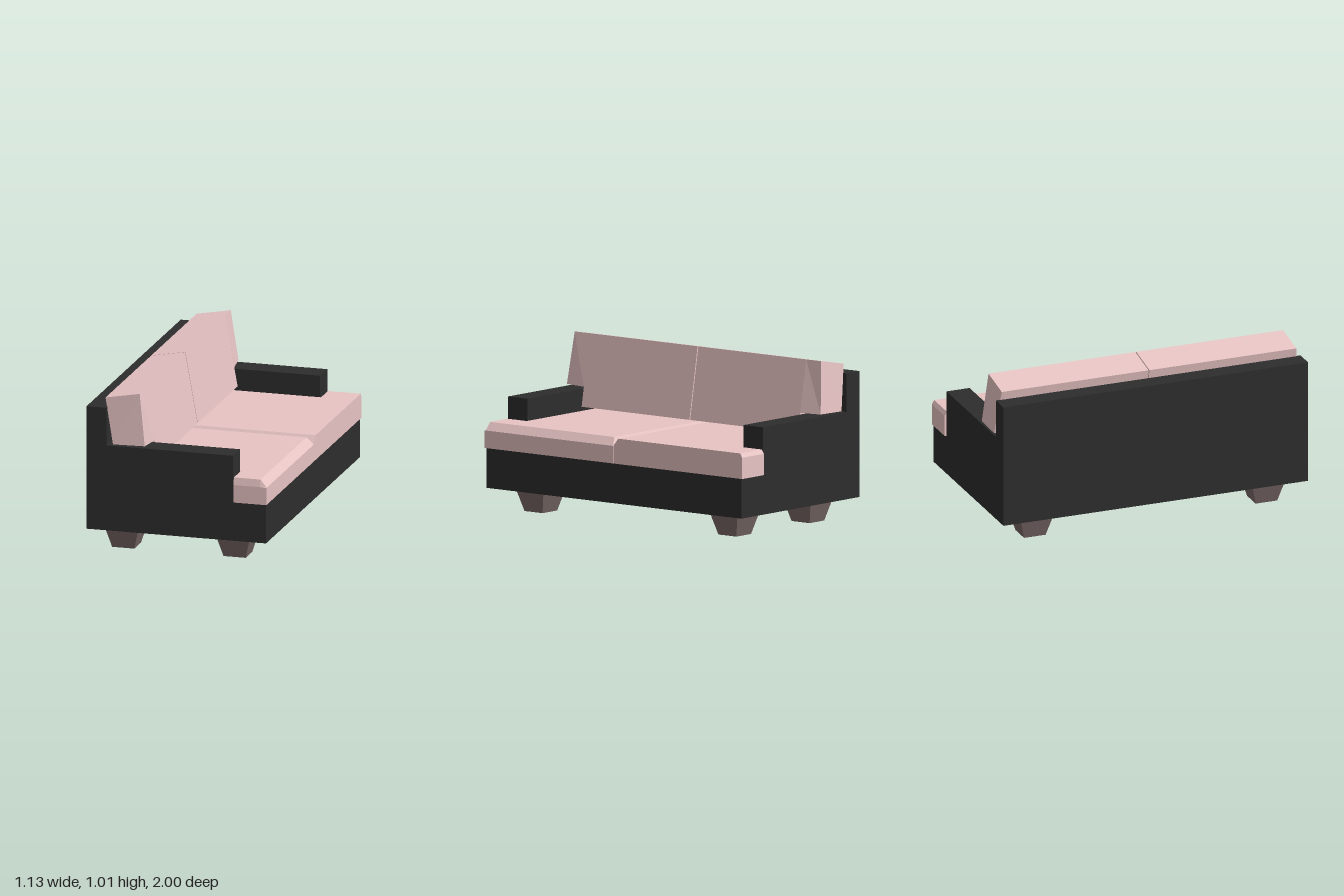
import * as THREE from 'three';

const mat = (color) => new THREE.MeshStandardMaterial({ color, flatShading: true });

// Skin closed rings of [x, y, z] (counter-clockwise seen from +z, ordered by rising z) and cap both ends.
function loft(rings) {
  const pos = [];
  const tri = (a, b, c) => pos.push(...a, ...b, ...c);
  const n = rings[0].length;
  for (let i = 0; i < rings.length - 1; i++) {
    for (let j = 0; j < n; j++) {
      const k = (j + 1) % n;
      const [a, b, c, d] = [rings[i][j], rings[i][k], rings[i + 1][k], rings[i + 1][j]];
      tri(a, b, c);
      tri(a, c, d);
    }
  }
  const last = rings[rings.length - 1];
  for (let j = 1; j < n - 1; j++) {
    tri(rings[0][0], rings[0][j + 1], rings[0][j]);
    tri(last[0], last[j], last[j + 1]);
  }
  const g = new THREE.BufferGeometry();
  g.setAttribute('position', new THREE.Float32BufferAttribute(pos, 3));
  g.computeVertexNormals();
  return g;
}

// Mirror rings to the -z half, keeping z rising.
const mirrorRings = (rings) => rings.map((r) => r.map(([x, y, z]) => [x, y, -z])).reverse();

// Side profile extruded between two z values.
function slab(points, z0, z1) {
  const shape = new THREE.Shape(points.map(([x, y]) => new THREE.Vector2(x, y)));
  return new THREE.ExtrudeGeometry(shape, { depth: z1 - z0, bevelEnabled: false }).translate(0, 0, z0);
}

// Seat cushion rings: wider at the front, where it wraps around the arm.
function seatRings(frontBevel, innerBevel, endBevel, endDrop) {
  const front = 0.565, low = 0.39, top = 0.545;
  const ring = (z, back, drop) => [
    [back, low, z],
    [front, low, z],
    [front, top - Math.max(drop, frontBevel * 1.2), z],
    [front - frontBevel, top - drop, z],
    [back, top - drop, z],
  ];
  return [
    ring(0.002, -0.445, 0.045),
    ring(innerBevel, -0.445, 0),
    ring(0.84, -0.445, 0),
    ring(0.84, 0.358, 0),
    ring(1 - endBevel, 0.358, 0),
    ring(1, 0.358, endDrop),
  ];
}

// Leaning back cushion rings, stepped up where it rests on the arm.
function backRings() {
  const frontTop = [-0.245, 1.01], backTop = [-0.46, 0.97];
  const ring = (z, backLow, frontLow, zTop = z) => [
    [...backLow, z], [...frontLow, z], [...frontTop, zTop], [...backTop, zTop],
  ];
  return [
    ring(0.003, [-0.38, 0.532], [-0.167, 0.57]),
    ring(0.84, [-0.38, 0.532], [-0.167, 0.57]),
    ring(0.84, [-0.409, 0.685], [-0.188, 0.69]),
    ring(0.985, [-0.405, 0.688], [-0.205, 0.692], 0.957),
  ];
}

export function createModel() {
  const sofa = new THREE.Group();
  sofa.name = 'sofa';
  const frameMat = mat(0x2d2d2d);
  const cushionMat = mat(0xe8c4c4);
  const footMat = mat(0x786866);
  const add = (name, geometry, material) => {
    const mesh = new THREE.Mesh(geometry, material);
    mesh.name = name;
    sofa.add(mesh);
    return mesh;
  };

  // Frame: seat base with backrest, and an arm panel at each end
  const low = 0.147, seat = 0.39, armTop = 0.68, backTop = 0.915;
  const back = -0.57, backFront = -0.445, armFront = 0.353, front = 0.56;
  add('baseAndBackrest', slab([
    [back, low], [front, low], [front, seat], [backFront, seat], [backFront, backTop], [back, backTop],
  ], -0.84, 0.84), frameMat);
  const armProfile = [
    [back, low], [front, low], [front, seat], [armFront, seat],
    [armFront, armTop], [backFront, armTop], [backFront, backTop], [back, backTop],
  ];
  add('leftArm', slab(armProfile, -0.99, -0.84), frameMat);
  add('rightArm', slab(armProfile, 0.84, 0.99), frameMat);

  // Seat cushions: one has a bevelled front edge, the other a square one
  add('seatCushionBevelled', loft(seatRings(0.04, 0.025, 0.01, 0.045)), cushionMat);
  add('seatCushionSquare', loft(mirrorRings(seatRings(0, 0.038, 0.015, 0.025))), cushionMat);

  // Back cushions
  add('backCushionNear', loft(backRings()), cushionMat);
  add('backCushionFar', loft(mirrorRings(backRings())), cushionMat);

  // Tapered square feet
  for (const x of [-0.385, 0.316]) {
    for (const z of [-0.74, 0.765]) {
      const g = new THREE.CylinderGeometry(0.11 * Math.SQRT2, 0.07 * Math.SQRT2, low, 4).rotateY(Math.PI / 4);
      add('foot', g, footMat).position.set(x, low / 2, z);
    }
  }
  return sofa;
}
